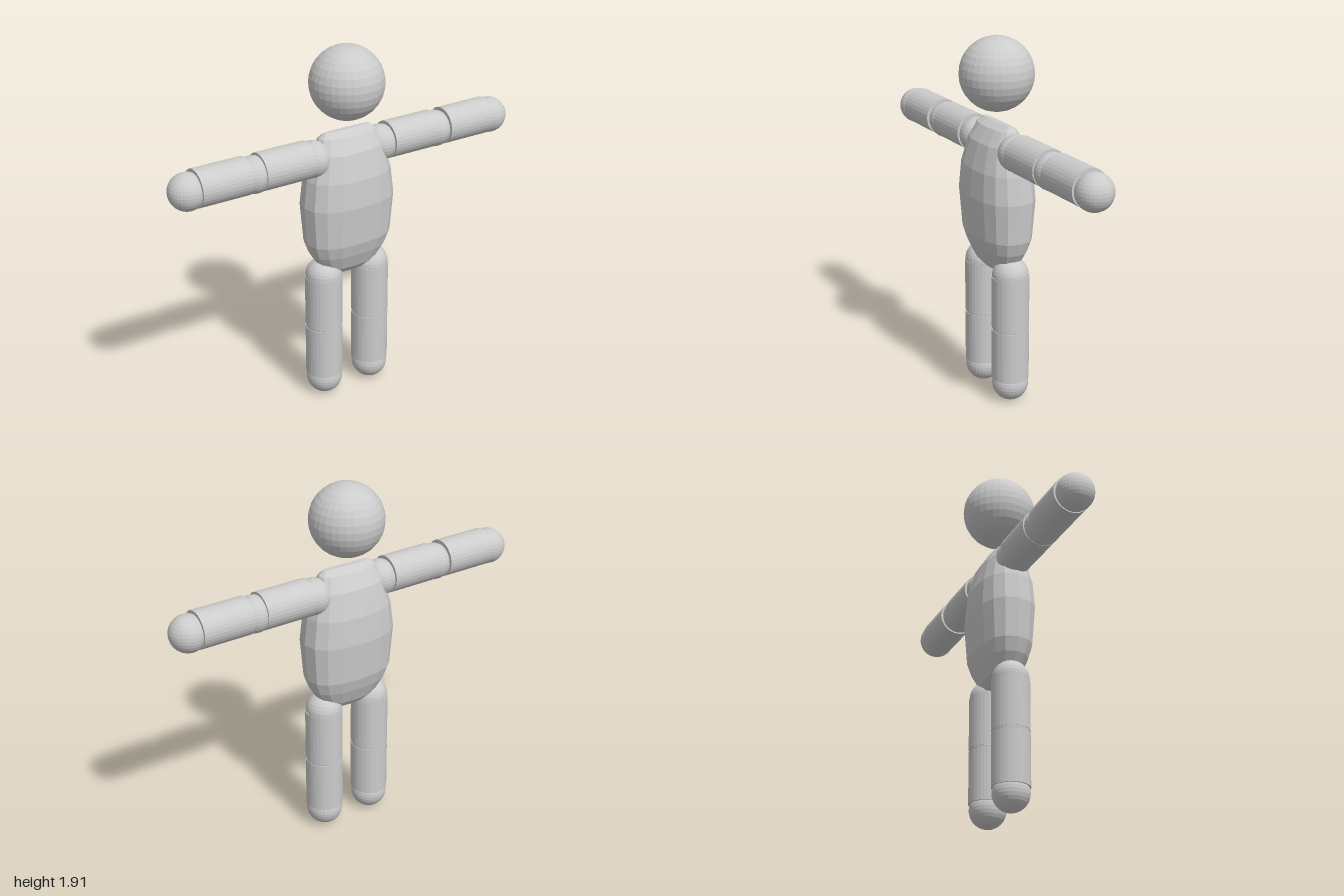
import * as THREE from 'three';

const material = new THREE.MeshStandardMaterial({ color: 0xcccccc, flatShading: true });

function part(name, geometry, x, y, parent) {
  const mesh = new THREE.Mesh(geometry, material);
  mesh.name = name;
  mesh.position.set(x, y, 0);
  parent.add(mesh);
  return mesh;
}

const ball = (r) => new THREE.SphereGeometry(r, 32, 16);

// Faceted torso lofted from rounded-rectangle rings: [y, half width, half depth]
function torsoGeometry() {
  const rings = [
    [0.705, 0.1, 0.05], [0.74, 0.165, 0.08], [0.82, 0.215, 0.115],
    [0.89, 0.24, 0.136], [1.1, 0.256, 0.153], [1.245, 0.238, 0.143],
    [1.38, 0.2, 0.108], [1.455, 0.165, 0.06], [1.479, 0.135, 0.015],
  ];
  const n = 16;
  const positions = [];
  const indices = [];
  const round = (v) => Math.sign(v) * Math.pow(Math.abs(v), 0.8);
  for (const [y, hx, hz] of rings) {
    for (let i = 0; i < n; i++) {
      const a = (i / n) * Math.PI * 2;
      positions.push(hx * round(Math.sin(a)), y, hz * round(Math.cos(a)));
    }
  }
  for (let r = 0; r < rings.length - 1; r++) {
    for (let i = 0; i < n; i++) {
      const a = r * n + i;
      const b = r * n + ((i + 1) % n);
      indices.push(a, b, b + n, a, b + n, a + n);
    }
  }
  // Flat caps under the hips and on top of the shoulders
  const top = (rings.length - 1) * n;
  for (let i = 1; i < n - 1; i++) {
    indices.push(0, i + 1, i, top, top + i, top + i + 1);
  }
  const geometry = new THREE.BufferGeometry();
  geometry.setAttribute('position', new THREE.Float32BufferAttribute(positions, 3));
  geometry.setIndex(indices);
  const flat = geometry.toNonIndexed();
  flat.computeVertexNormals();
  return flat;
}

export function createModel() {
  const model = new THREE.Group();
  model.name = 'jointedFigure';

  part('head', ball(0.191), 0, 1.721, model);
  part('torso', torsoGeometry(), 0, 0, model);

  const limb = new THREE.CylinderGeometry(0.0975, 0.0975, 0.276, 32);
  const joint = ball(0.095);

  for (const [side, s] of [['left', 1], ['right', -1]]) {
    // Arm held straight out to the side
    const arm = new THREE.Group();
    arm.name = side + 'Arm';
    model.add(arm);
    for (const [name, x] of [['shoulder', 0.2], ['elbow', 0.545], ['hand', 0.905]]) {
      part(name, joint, s * x, 1.357, arm);
    }
    for (const [name, x] of [['upperArm', 0.378], ['forearm', 0.728]]) {
      part(name, limb, s * x, 1.363, arm).rotation.z = Math.PI / 2;
    }

    // Straight leg
    const leg = new THREE.Group();
    leg.name = side + 'Leg';
    model.add(leg);
    for (const [name, y] of [['foot', 0.095], ['knee', 0.41], ['hip', 0.695]]) {
      part(name, joint, s * 0.144, y, leg);
    }
    for (const [name, y] of [['shin', 0.262], ['thigh', 0.552]]) {
      part(name, limb, s * 0.144, y, leg);
    }
  }
  return model;
}
